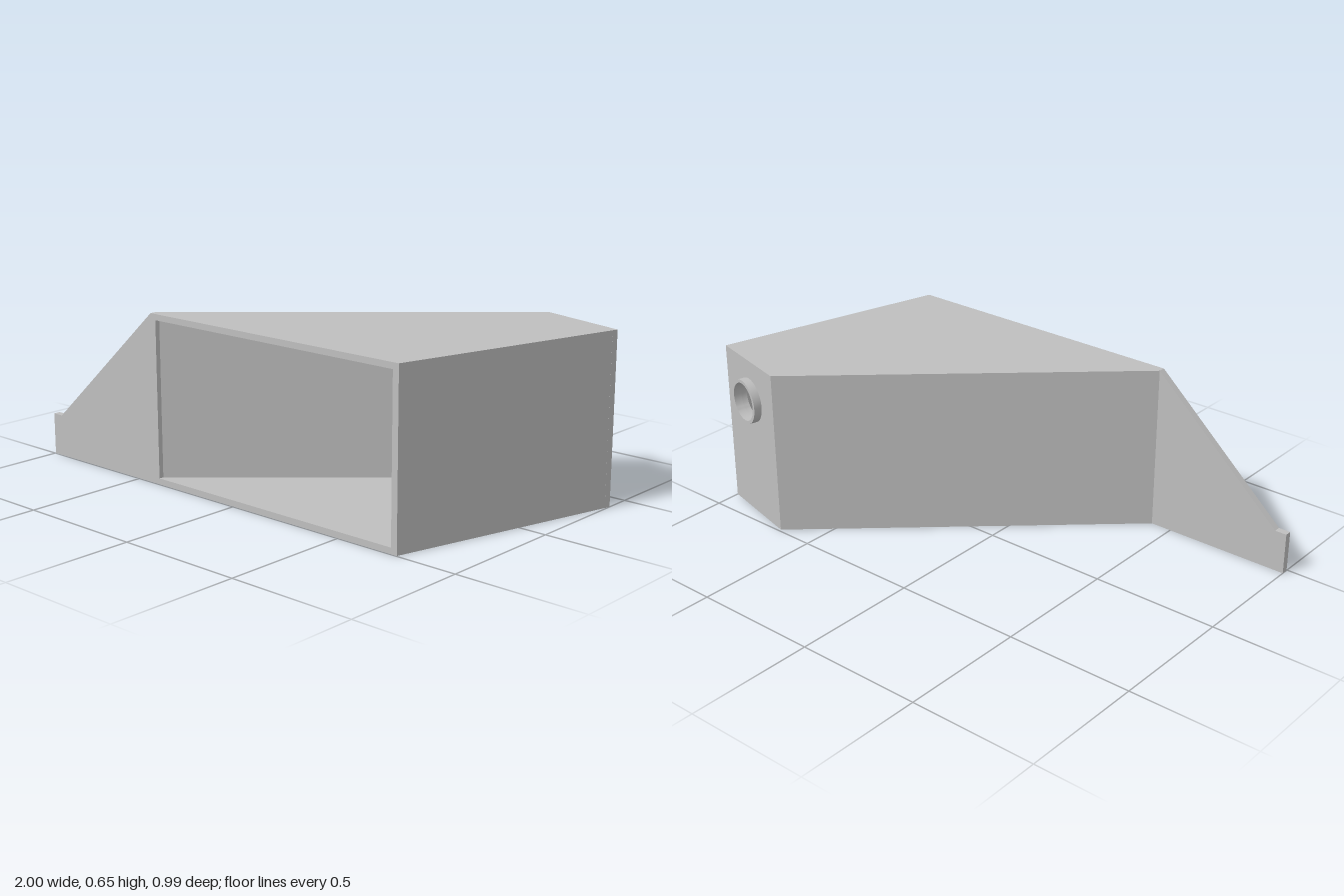
import * as THREE from 'three';
import { toCreasedNormals } from 'three/addons/utils/BufferGeometryUtils.js';

const H = 0.648; // overall height
const T = 0.023; // wall thickness

// Plan corners as [x, z]
const A = [-0.415, 0.47], A0 = [-0.415, 0.497], B = [0.655, -0.49], C = [1, -0.4], D = [0.757, 0.497];
// Matching inside corners
const a = [-0.39, 0.478], a0 = [-0.39, 0.497], b = [0.662, -0.464], c = [0.97, -0.383], d = [0.732, 0.497];

const shapeOf = (points) => new THREE.Shape(points.map(([x, y]) => new THREE.Vector2(x, y)));

const circle = (Kind, x, y, r) => new Kind().absarc(x, y, r, 0, Math.PI * 2, false);

const extrude = (shape, depth) =>
  new THREE.ExtrudeGeometry(shape, { depth, bevelEnabled: false, curveSegments: 24 });

// Vertical prism over a plan outline, from y0 to y1
function prism(plan, y0, y1) {
  return extrude(shapeOf(plan.map(([x, z]) => [x, -z])), y1 - y0).rotateX(-Math.PI / 2).translate(0, y0, 0);
}

export function createModel() {
  const model = new THREE.Group();
  model.name = 'ductHousing';
  const grey = new THREE.MeshStandardMaterial({ color: 0xbfbfbf });
  grey.name = 'plain grey';

  const add = (name, geometry, parent = model) => {
    const mesh = new THREE.Mesh(geometry, grey);
    mesh.name = name;
    parent.add(mesh);
    return mesh;
  };

  // Floor and roof slabs
  const outline = [A0, D, C, B, A];
  add('floor', prism(outline, 0, T));
  add('roof', prism(outline, H - T, H));

  // Side walls, leaving the front open
  add('slantedWall', prism([A0, a0, a, b, B, A], T, H - T));
  add('sideWall', prism([D, C, c, d], T, H - T));

  // Rear wall with round port: local x runs along the wall, local z points inward
  const rear = new THREE.Group();
  rear.name = 'rearWallAssembly';
  rear.position.set(B[0], 0, B[1]);
  rear.rotation.y = -Math.atan2(C[1] - B[1], C[0] - B[0]);
  model.add(rear);

  const width = Math.hypot(C[0] - B[0], C[1] - B[1]);
  const portX = width / 2, portY = 0.485, portR = 0.075;
  const wall = shapeOf([[0, T], [width, T], [width, H - T], [0, H - T]]);
  wall.holes.push(circle(THREE.Path, portX, portY, portR));
  add('rearWall', toCreasedNormals(extrude(wall, T), 0.6), rear);

  // Collar standing out around the port
  const ring = circle(THREE.Shape, portX, portY, 0.088);
  ring.holes.push(circle(THREE.Path, portX, portY, portR));
  add('portCollar', toCreasedNormals(extrude(ring, 0.031), 0.6), rear).position.z = -0.031;

  // Tapered mounting flange in line with the front
  const flange = shapeOf([[-1, 0], [A[0], 0], [A[0], H], [-0.953, 0.163], [-1, 0.163]]);
  add('mountingFlange', extrude(flange, A0[1] - A[1])).position.z = A[1];

  return model;
}
